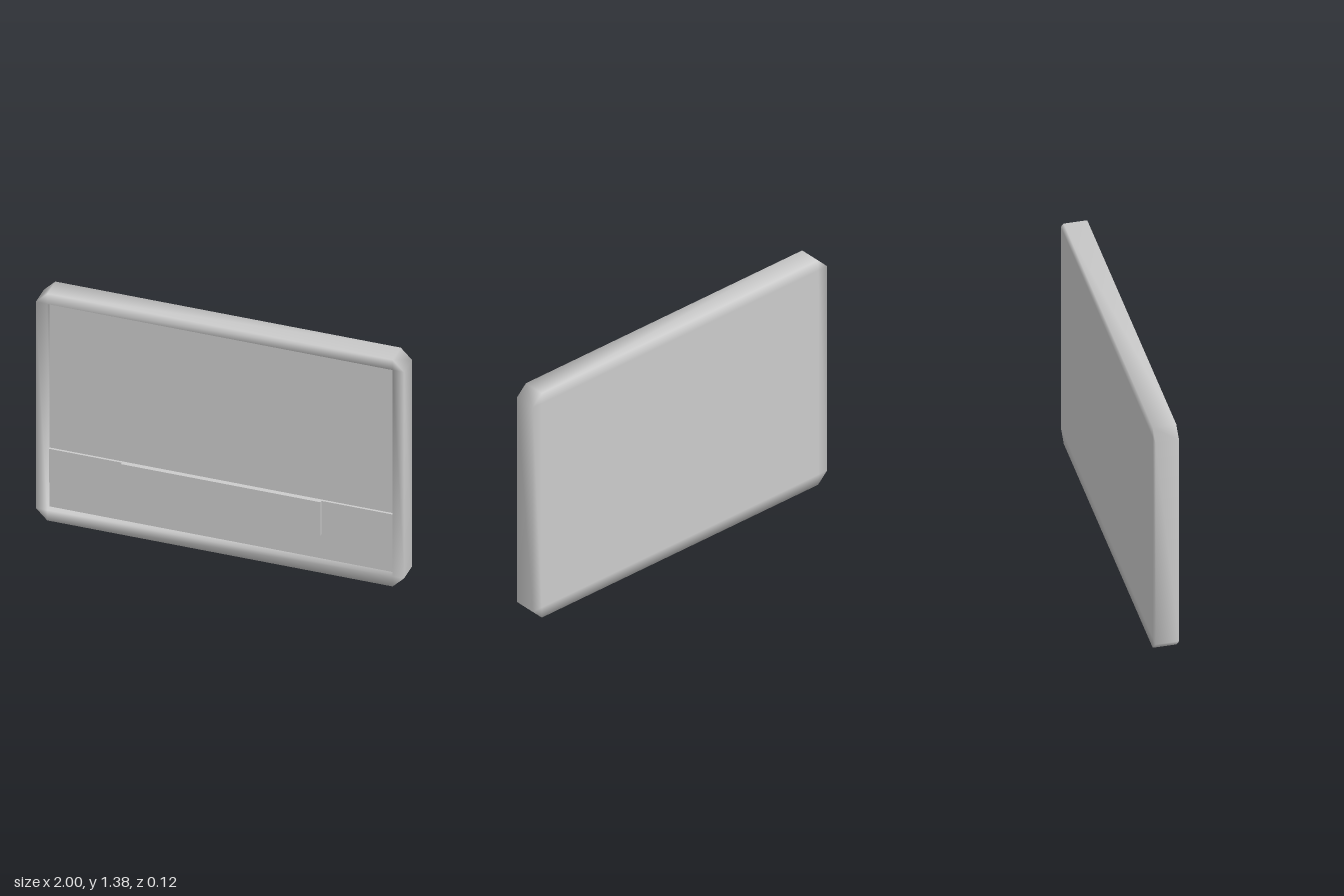
import * as THREE from 'three';
import { mergeVertices } from 'three/addons/utils/BufferGeometryUtils.js';

const HEIGHT = 1.376, MID = HEIGHT / 2;
const HALF_W = 1, HALF_H = MID, DEPTH = 0.062;
const RIM = 0.062; // rim width and corner cut
const IN_W = HALF_W - RIM, IN_H = HALF_H - RIM;

// Eight-point ring, counter-clockwise from the front; a cut of 0 gives a plain rectangle
function ring(w, h, cut, z) {
  return [
    [w, -h + cut], [w, h - cut], [w - cut, h], [-w + cut, h],
    [-w, h - cut], [-w, -h + cut], [-w + cut, -h], [w - cut, -h],
  ].map(([x, y]) => [x, y, z]);
}

// Skin a series of rings with shared, smooth normals
function loft(rings) {
  const positions = [];
  for (let r = 0; r < rings.length - 1; r++) {
    const a = rings[r], b = rings[r + 1];
    for (let i = 0; i < a.length; i++) {
      const j = (i + 1) % a.length;
      positions.push(...a[i], ...a[j], ...b[j], ...a[i], ...b[j], ...b[i]);
    }
  }
  const geometry = new THREE.BufferGeometry();
  geometry.setAttribute('position', new THREE.Float32BufferAttribute(positions, 3));
  const merged = mergeVertices(geometry);
  merged.computeVertexNormals();
  return merged;
}

export function createModel() {
  const group = new THREE.Group();
  const material = new THREE.MeshStandardMaterial({ color: 0xcccccc });

  function add(name, geometry, x, y, z) {
    const mesh = new THREE.Mesh(geometry, material);
    mesh.name = name;
    mesh.position.set(x, y, z);
    group.add(mesh);
  }

  // Box between two heights and two depths, centred on x
  function slab(name, width, y0, y1, z0, z1) {
    add(name, new THREE.BoxGeometry(width, y1 - y0, z1 - z0), 0, (y0 + y1) / 2, (z0 + z1) / 2);
  }

  // Casing: closed back, cut corners, raised rim around a front recess
  add('casing', loft([
    ring(0, 0, 0, -DEPTH),
    ring(IN_W, IN_H, 0, -DEPTH),
    ring(HALF_W, HALF_H, RIM, -DEPTH),
    ring(HALF_W, HALF_H, RIM, DEPTH),
    ring(IN_W, IN_H, 0, DEPTH),
    ring(IN_W, IN_H, 0, 0),
  ]), 0, MID, 0);

  // Recessed face, cross band and the plate on it
  slab('recessedPanel', 2 * IN_W, RIM, HEIGHT - RIM, 0, 0.024);
  slab('crossBand', 2 * IN_W, 0.217, 0.42, 0.02, 0.037);
  slab('centrePlate', 1.085, 0.217, 0.42, 0.03, 0.051);

  return group;
}
